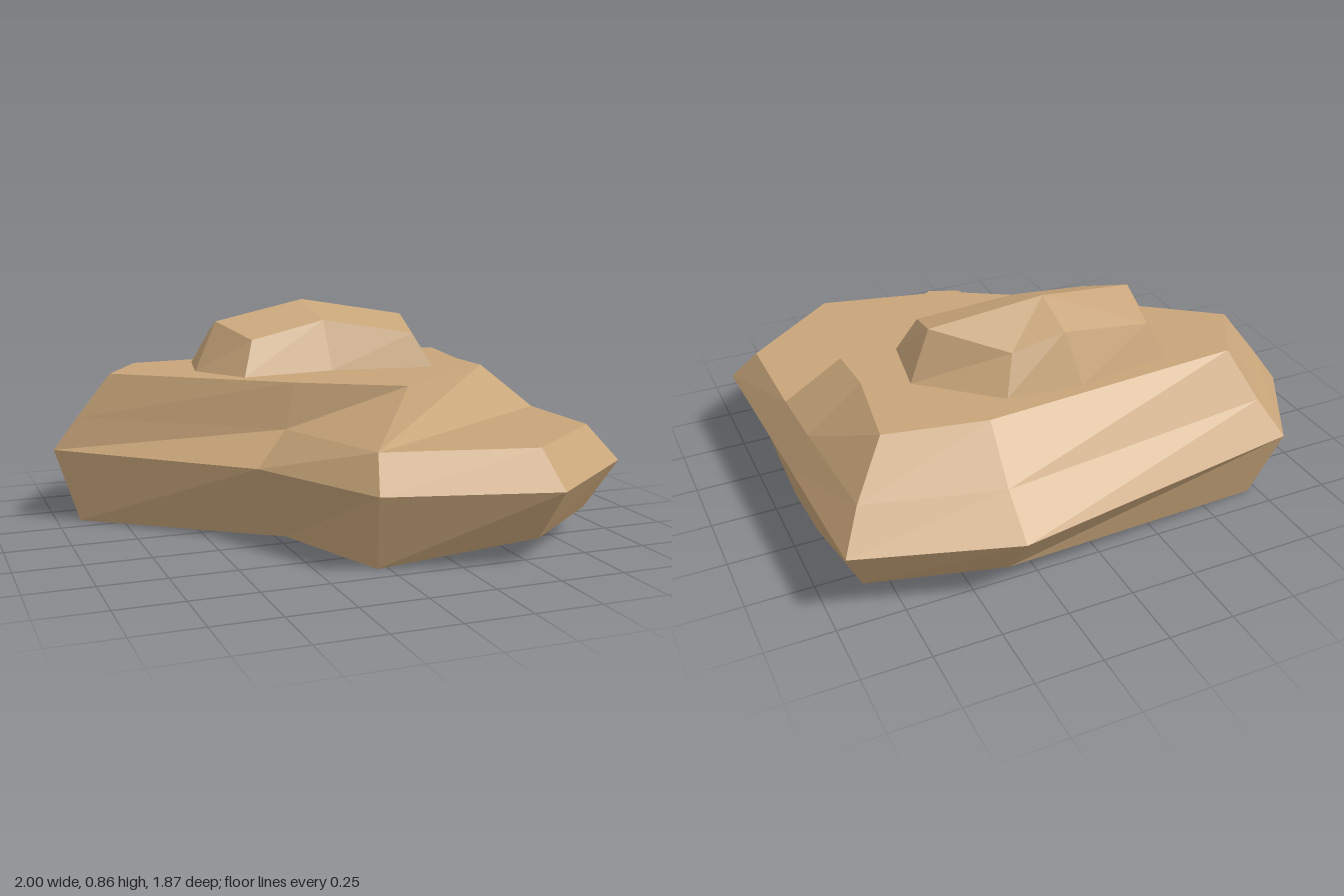
import * as THREE from 'three';

const material = new THREE.MeshStandardMaterial({ color: 0xc8a57a, flatShading: true, roughness: 1 });

// Turns flat [x, z] outlines into points at a height (one number, or one per corner)
const atHeight = (outline, y) => outline.map(([x, z], i) => [x, Array.isArray(y) ? y[i] : y, z]);

// Polygon as a triangle fan around its first corner
function fan(out, points) {
  for (let i = 1; i < points.length - 1; i++) out.push(...points[0], ...points[i], ...points[i + 1]);
}
// Outlines run clockwise seen from above, so upward faces are reversed
const fanUp = (out, points) => fan(out, [points[0], ...points.slice(1).reverse()]);

// Outward side walls between two rings with the same number of corners
function loft(out, lower, upper) {
  lower.forEach((p, i) => {
    const j = (i + 1) % lower.length;
    fan(out, [lower[j], p, upper[i], upper[j]]);
  });
}

function facetedMesh(name, positions) {
  const geometry = new THREE.BufferGeometry();
  geometry.setAttribute('position', new THREE.Float32BufferAttribute(positions, 3));
  geometry.computeVertexNormals();
  const mesh = new THREE.Mesh(geometry, material);
  mesh.name = name;
  return mesh;
}

function createBoulder() {
  const out = [];
  // Widest outline, and the inset outline shared by shoulder and foot
  const waist = atHeight([
    [-1, -0.37], [-0.78, -0.75], [0.38, -0.94], [0.95, -0.76], [0.97, -0.19],
    [0.98, 0.07], [1, 0.57], [0.55, 0.93], [-0.08, 0.77], [-0.34, 0.23],
  ], 0.29);
  const inset = [
    [-0.91, -0.34], [-0.71, -0.66], [0.38, -0.79], [0.87, -0.66], [0.895, -0.19],
    [0.905, 0.07], [0.91, 0.48], [0.53, 0.79], [-0.04, 0.66], [-0.21, 0.17],
  ];
  const shoulder = atHeight(inset, 0.42);
  const foot = atHeight(inset, [0, 0, 0.09, 0.09, 0, 0, 0.09, 0.09, 0, 0]);
  const crown = atHeight([
    [-0.78, -0.3], [-0.63, -0.55], [0.37, -0.62], [0.74, -0.55],
    [0.69, -0.2], [0.7, 0], [0.2, 0.38], [-0.17, 0.16],
  ], 0.595);

  loft(out, foot, waist);
  loft(out, waist, shoulder);
  // Front ledge, then the slopes behind it up to the flat crown
  fanUp(out, [5, 6, 7, 8].map((i) => shoulder[i]));
  loft(out, shoulder.filter((_, i) => i !== 6 && i !== 7), crown);
  fanUp(out, [...crown.slice(4), ...crown.slice(0, 4)]);
  // Underside with two bevelled corners
  for (const face of [[9, 0, 1, 4, 5, 8], [1, 2, 3, 4], [5, 6, 7, 8]]) fan(out, face.map((i) => foot[i]));
  return facetedMesh('boulder', out);
}

function createTopStone() {
  const out = [];
  const base = atHeight([
    [-0.45, -0.24], [-0.4, -0.49], [-0.02, -0.55], [0.26, -0.52],
    [0.53, -0.28], [0.49, -0.02], [0.07, -0.07], [-0.31, -0.02],
  ], 0.595);
  const rim = atHeight([
    [-0.36, -0.25], [-0.33, -0.455], [0.02, -0.48], [0.21, -0.45],
    [0.45, -0.265], [0.42, -0.07], [0.06, -0.145], [-0.26, -0.085],
  ], [0.79, 0.73, 0.785, 0.73, 0.79, 0.73, 0.79, 0.73]);
  const peak = [0.03, 0.86, -0.32];

  loft(out, base, rim);
  // Four facets around the peak
  for (let i = 0; i < 8; i += 2) fanUp(out, [peak, rim[i], rim[i + 1], rim[(i + 2) % 8]]);
  return facetedMesh('topStone', out);
}

export function createModel() {
  const group = new THREE.Group();
  group.name = 'rock';
  group.add(createBoulder(), createTopStone());
  return group;
}
